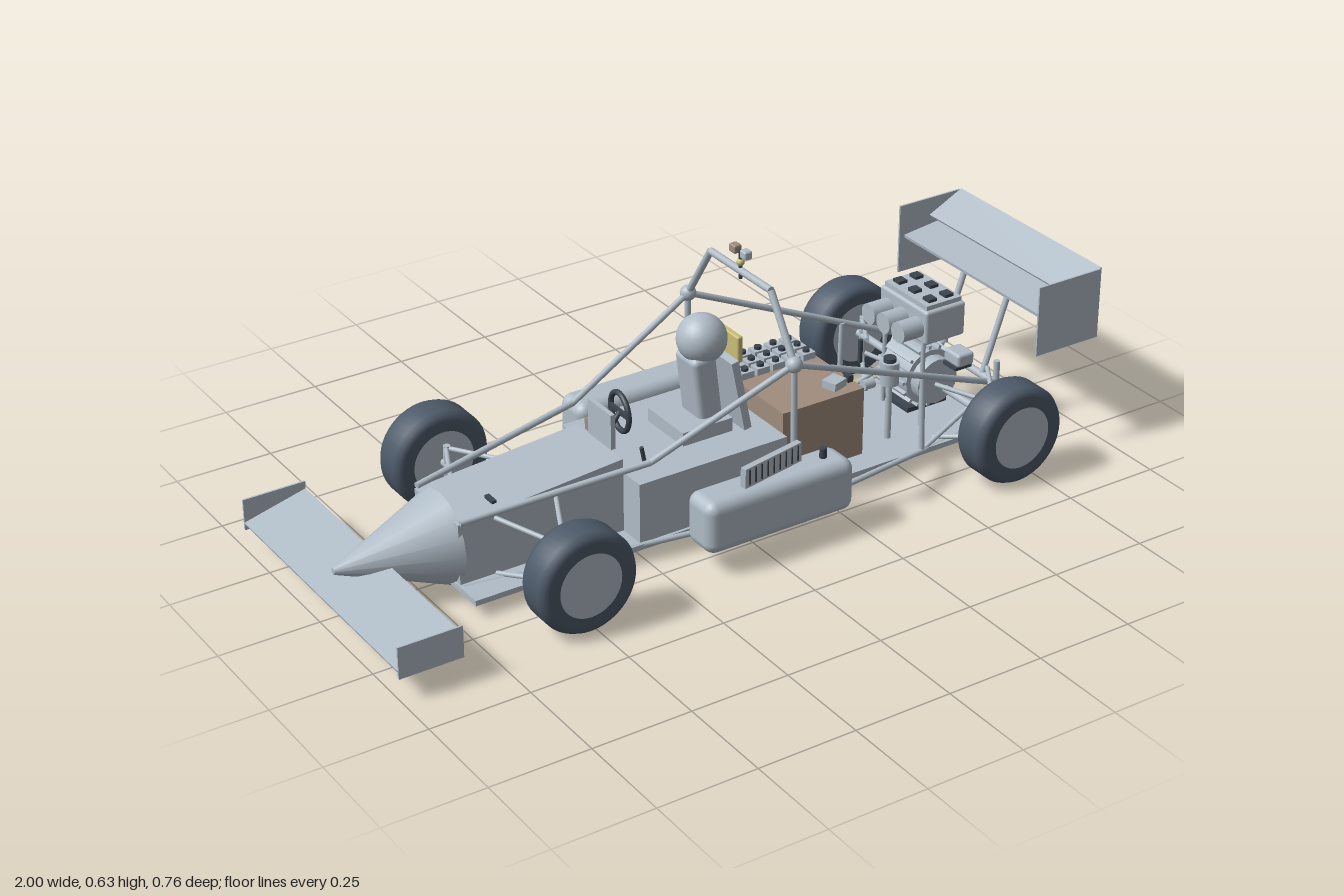
import * as THREE from 'three';
import { RoundedBoxGeometry } from 'three/addons/geometries/RoundedBoxGeometry.js';

const V = (p) => new THREE.Vector3(...p);

export function createModel() {
  const car = new THREE.Group();
  car.name = 'openWheelRaceCar';
  const mat = (name, color) => {
    const m = new THREE.MeshStandardMaterial({ color });
    m.name = name;
    return m;
  };
  const grey = mat('lightGrey', 0xb0bcc7);
  const rubber = mat('tyreRubber', 0x4c5968);
  const dark = mat('darkSteel', 0x3c454f);
  const brown = mat('brown', 0xa08e7e);
  const brass = mat('brass', 0xcabd78);

  // Helpers: generic mesh, box, rounded box, rod between two points, ball
  const add = (name, geo, m, p = [0, 0, 0], r = [0, 0, 0]) => {
    const mesh = new THREE.Mesh(geo, m);
    mesh.name = name;
    mesh.position.set(...p);
    mesh.rotation.set(...r);
    car.add(mesh);
    return mesh;
  };
  const box = (name, m, p, s, r) => add(name, new THREE.BoxGeometry(...s), m, p, r);
  const soft = (name, m, p, s, rad, r) => add(name, new RoundedBoxGeometry(...s, 3, rad), m, p, r);
  const ball = (name, m, p, r) => add(name, new THREE.SphereGeometry(r, 24, 16), m, p);
  const rod = (name, m, a, b, r, r2 = r) => {
    const d = V(b).sub(V(a));
    const mesh = add(name, new THREE.CylinderGeometry(r2, r, d.length(), 16), m);
    mesh.position.copy(V(a)).addScaledVector(d, 0.5);
    mesh.quaternion.setFromUnitVectors(new THREE.Vector3(0, 1, 0), d.normalize());
    return mesh;
  };
  const path = (name, m, pts, r) => {
    for (let i = 1; i < pts.length; i++) rod(name, m, pts[i - 1], pts[i], r);
  };

  // Floor, cockpit tub and front body
  box('floor', grey, [0.045, 0.038, 0], [1.49, 0.014, 0.355]);
  box('cockpitTub', grey, [-0.055, 0.12, 0], [0.41, 0.16, 0.34]);
  const side = new THREE.Shape([[-0.695, 0.04], [-0.26, 0.04], [-0.26, 0.235], [-0.695, 0.2]]
    .map((p) => new THREE.Vector2(...p)));
  add('frontBody', new THREE.ExtrudeGeometry(side, { depth: 0.2, bevelEnabled: false }), grey, [0, 0, -0.1]);
  box('bodySlot', dark, [-0.585, 0.212, 0.055], [0.012, 0.008, 0.035]);
  rod('noseCone', grey, [-0.685, 0.12, 0], [-0.96, 0.12, 0], 0.116, 0.008);

  // Front wing
  box('frontWing', grey, [-0.92, 0.093, 0], [0.165, 0.006, 0.74], [0, 0, 0.25]);
  for (const s of [1, -1]) box('frontEndPlate', grey, [-0.92, 0.095, s * 0.371], [0.16, 0.08, 0.005]);

  // Rear wing with two elements on struts
  box('rearWingMain', grey, [0.875, 0.375, 0], [0.11, 0.008, 0.55], [0, 0, 0.12]);
  box('rearWingFlap', grey, [0.95, 0.43, 0], [0.11, 0.006, 0.55], [0, 0, 0.46]);
  for (const s of [1, -1]) {
    box('rearEndPlate', grey, [0.9, 0.363, s * 0.277], [0.19, 0.184, 0.005]);
    rod('wingStrut', grey, [0.8, 0.14, s * 0.085], [0.88, 0.372, s * 0.085], 0.008);
  }

  // Wheels
  const tyreProfile = [[0.08, -0.05], [0.107, -0.05], [0.12, -0.044], [0.127, -0.03], [0.127, 0.03],
    [0.12, 0.044], [0.107, 0.05], [0.08, 0.05]].map((p) => new THREE.Vector2(...p));
  const tyre = new THREE.LatheGeometry(tyreProfile, 48);
  const hub = new THREE.CylinderGeometry(0.082, 0.082, 0.098, 40);
  for (const x of [-0.52, 0.69]) {
    for (const s of [1, -1]) {
      const p = [x, 0.128, s * 0.33];
      add('tyre', tyre, rubber, p, [Math.PI / 2, 0, 0]);
      add('wheelHub', hub, grey, p, [Math.PI / 2, 0, 0]);
      // Suspension arms and upright
      const inner = x < 0 ? 0.1 : 0.14;
      for (const [yo, yi] of [[0.172, 0.19], [0.08, 0.045]]) {
        for (const dx of [-0.08, 0.08]) {
          rod('wishbone', grey, [x, yo, s * 0.268], [x + dx, yi, s * inner], 0.006);
        }
      }
      rod('upright', grey, [x, 0.07, s * 0.265], [x, 0.18, s * 0.265], 0.009);
      rod('axle', grey, [x, 0.128, s * (x < 0 ? 0.255 : 0.08)], [x, 0.128, s * 0.3], 0.01);
    }
  }

  // Tubular frame and roll hoop
  for (const s of [1, -1]) {
    const shoulder = [0.13, 0.42, s * 0.222];
    path('upperFrameTube', grey, [[-0.69, 0.205, s * 0.1], [-0.23, 0.25, s * 0.17], shoulder,
      [0.8, 0.14, s * 0.14]], 0.008);
    path('lowerFrameTube', grey, [[-0.69, 0.04, s * 0.105], [0.13, 0.04, s * 0.23],
      [0.8, 0.04, s * 0.14]], 0.007);
    rod('hoopPost', grey, [0.13, 0.04, s * 0.23], shoulder, 0.008);
    rod('hoopLeg', grey, shoulder, [0.13, 0.57, s * 0.125], 0.009);
    ball('hoopJoint', grey, shoulder, 0.02);
    rod('rearPost', grey, [0.8, 0.035, s * 0.14], [0.8, 0.2, s * 0.14], 0.008);
    rod('midPost', grey, [0.55, 0.04, s * 0.172], [0.55, 0.245, s * 0.165], 0.007);
    rod('rearBrace', grey, [0.55, 0.04, s * 0.172], [0.8, 0.14, s * 0.14], 0.006);
  }
  rod('hoopBar', grey, [0.13, 0.57, -0.125], [0.13, 0.57, 0.125], 0.009);
  rod('rearCrossTube', grey, [0.8, 0.137, -0.14], [0.8, 0.137, 0.14], 0.01);
  rod('rearLowerTube', grey, [0.8, 0.04, -0.17], [0.8, 0.04, 0.17], 0.008);
  rod('hoopFloorTube', grey, [0.13, 0.04, -0.23], [0.13, 0.04, 0.23], 0.007);

  // Mast with sensors on the hoop
  rod('mast', dark, [0.13, 0.55, 0], [0.13, 0.622, 0], 0.005);
  ball('mastBall', brass, [0.13, 0.592, 0], 0.01);
  soft('mastSensorLeft', grey, [0.13, 0.62, 0.022], [0.022, 0.022, 0.025], 0.005);
  soft('mastSensorRight', brown, [0.13, 0.62, -0.022], [0.022, 0.022, 0.025], 0.005);

  // Side pods and radiator
  for (const s of [1, -1]) soft('sidePod', grey, [0.03, 0.122, s * 0.28], [0.41, 0.135, 0.105], 0.028);
  box('radiator', grey, [0.03, 0.215, 0.278], [0.185, 0.05, 0.016], [0, 0.2, 0]);
  for (let i = 0; i < 9; i++) {
    const t = -0.08 + i * 0.02;
    box('radiatorFin', dark, [0.03 + t * 0.98, 0.216, 0.278 - t * 0.2], [0.004, 0.04, 0.02], [0, 0.2, 0]);
  }
  rod('podSensor', dark, [0.175, 0.185, 0.28], [0.175, 0.215, 0.28], 0.009);

  // Seat and driver
  box('seatBase', grey, [-0.01, 0.215, 0], [0.14, 0.04, 0.15]);
  soft('driverTorso', grey, [0.015, 0.3, 0], [0.065, 0.19, 0.09], 0.015, [0, 0, 0.12]);
  box('seatBack', grey, [0.075, 0.295, 0], [0.02, 0.19, 0.18], [0, 0, 0.2]);
  ball('driverHead', grey, [0.022, 0.424, 0], 0.061);

  // Steering wheel and dashboard
  add('steeringWheel', new THREE.TorusGeometry(0.047, 0.007, 10, 32), dark, [-0.205, 0.297, 0], [0, Math.PI / 2 - 0.1, 0]);
  rod('steeringColumn', dark, [-0.26, 0.225, 0], [-0.205, 0.297, 0], 0.006);
  box('steeringSpoke', dark, [-0.205, 0.297, 0], [0.008, 0.012, 0.09]);
  box('dashboard', grey, [-0.255, 0.28, 0], [0.012, 0.09, 0.1]);
  box('switchPanel', brown, [-0.215, 0.215, -0.11], [0.02, 0.03, 0.03]);
  rod('gearLever', dark, [-0.2, 0.2, 0.1], [-0.21, 0.25, 0.1], 0.005);

  // Battery box with cells and connectors on top
  box('batteryBox', brown, [0.273, 0.158, -0.003], [0.235, 0.18, 0.296]);
  for (let i = 0; i < 5; i++) {
    for (let j = 0; j < 3; j++) {
      const x = 0.185 + i * 0.045;
      const z = -0.135 + j * 0.038;
      box('batteryCell', grey, [x, 0.256, z], [0.036, 0.018, 0.03]);
      rod('cellCap', dark, [x, 0.262, z], [x, 0.273, z], 0.009);
    }
  }
  box('batteryPlug', grey, [0.335, 0.258, 0.1], [0.045, 0.02, 0.04], [0, 0.3, 0]);
  box('batteryFuse', dark, [0.38, 0.256, 0.095], [0.015, 0.018, 0.02]);
  soft('brassPanel', brass, [0.17, 0.325, -0.1], [0.016, 0.07, 0.09], 0.005);
  for (const z of [-0.125, -0.075]) rod('panelPost', grey, [0.17, 0.24, z], [0.17, 0.3, z], 0.005);
  ball('panelKnob', dark, [0.183, 0.325, -0.1], 0.014);

  // Small equipment on the rear floor
  rod('brassTank', brass, [0.52, 0.062, -0.09], [0.52, 0.12, -0.09], 0.022);
  rod('tankNeck', grey, [0.52, 0.12, -0.09], [0.52, 0.132, -0.09], 0.009);
  box('uprightPlate', grey, [0.433, 0.093, -0.08], [0.01, 0.05, 0.045]);
  rod('coolantBottle', grey, [0.515, 0.195, 0.08], [0.515, 0.255, 0.08], 0.024);
  rod('bottleCap', dark, [0.515, 0.255, 0.08], [0.515, 0.266, 0.08], 0.016);
  rod('bottleStand', grey, [0.515, 0.04, 0.08], [0.515, 0.195, 0.08], 0.008);
  rod('pump', grey, [0.42, 0.225, 0.1], [0.45, 0.225, 0.1], 0.013);
  rod('hose', dark, [0.47, 0.24, 0.02], [0.47, 0.3, 0.02], 0.006);

  // Inverter with front cylinders and terminal caps
  soft('inverter', grey, [0.675, 0.315, -0.005], [0.12, 0.09, 0.19], 0.008);
  box('inverterLid', grey, [0.675, 0.365, -0.005], [0.105, 0.014, 0.17]);
  for (const z of [-0.065, -0.005, 0.055]) {
    rod('inverterCylinder', grey, [0.555, 0.31, z], [0.62, 0.31, z], 0.027);
    for (const x of [0.65, 0.7]) box('terminal', dark, [x, 0.375, z], [0.024, 0.01, 0.026]);
  }
  for (let i = 0; i < 6; i++) rod('coolingStub', grey, [0.69, 0.27, -0.08 + i * 0.03], [0.69, 0.255, -0.08 + i * 0.03], 0.008);
  box('inverterPlug', rubber, [0.69, 0.325, -0.11], [0.04, 0.03, 0.025]);
  for (const z of [-0.08, 0.075]) rod('inverterPost', grey, [0.62, 0.04, z], [0.62, 0.29, z], 0.006);

  // Drive motor with ribs, end bell and gearbox
  const motor = [0.68, 0.142];
  rod('motor', grey, [...motor, -0.085], [...motor, 0.03], 0.074);
  rod('motorEndBell', grey, [...motor, 0.025], [...motor, 0.06], 0.06);
  rod('motorCap', grey, [...motor, -0.095], [...motor, -0.085], 0.055);
  for (let i = 0; i < 16; i++) {
    const a = (i / 16) * Math.PI * 2;
    box('motorRib', grey, [motor[0] + 0.076 * Math.cos(a), motor[1] + 0.076 * Math.sin(a), -0.028],
      [0.014, 0.008, 0.11], [0, 0, a]);
  }
  box('motorMount', dark, [0.68, 0.06, -0.028], [0.12, 0.012, 0.1]);
  soft('pumpBody', grey, [0.72, 0.215, 0.09], [0.05, 0.035, 0.06], 0.008);
  box('pumpBracket', dark, [0.72, 0.191, 0.085], [0.05, 0.008, 0.05]);

  return car;
}
